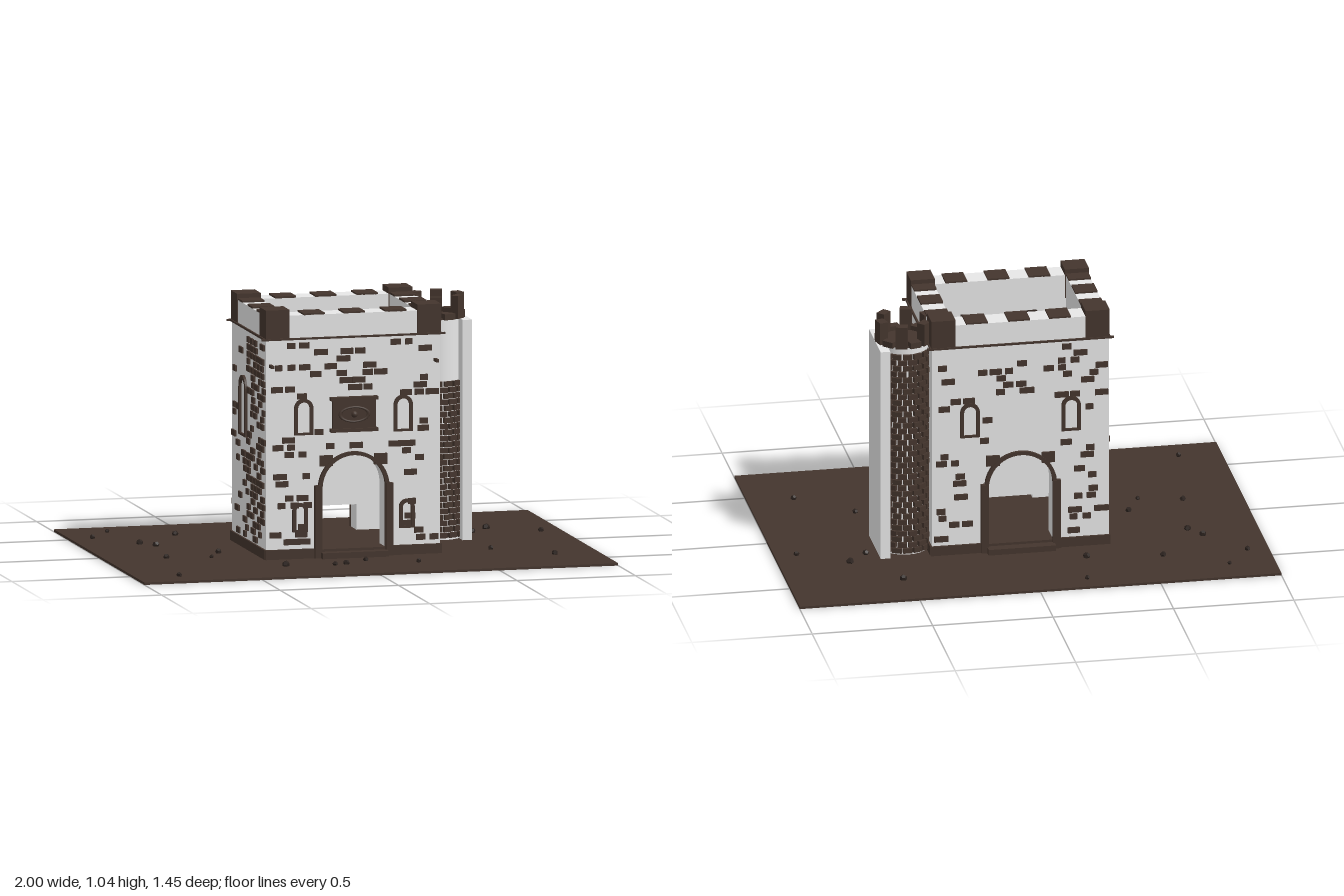
import * as THREE from 'three';
import { mergeGeometries } from 'three/addons/utils/BufferGeometryUtils.js';

const mat = (name, color) => Object.assign(new THREE.MeshStandardMaterial({ color }), { name });

export function createModel() {
  const plaster = mat('pale plaster', 0xf2f2f2);
  const brown = mat('brown stone', 0x44352d);
  const dark = mat('dark rubble', 0x2c231f);
  const root = new THREE.Group();
  root.name = 'gatehouse';

  let seed = 7;
  const rnd = () => (seed = (seed * 16807) % 2147483647) / 2147483647;

  const add = (parent, name, geo, m, x = 0, y = 0, z = 0) => {
    const mesh = new THREE.Mesh(geo, m);
    mesh.name = name;
    mesh.position.set(x, y, z);
    parent.add(mesh);
    return mesh;
  };
  // box given by its limits
  const box = (parent, name, m, x0, x1, y0, y1, z0, z1) =>
    add(parent, name, new THREE.BoxGeometry(x1 - x0, y1 - y0, z1 - z0), m,
      (x0 + x1) / 2, (y0 + y1) / 2, (z0 + z1) / 2);

  // round-headed outline standing on y0
  const archPath = (P, w, y0, top) => {
    const p = new P(), r = w / 2;
    p.moveTo(-r, y0);
    p.lineTo(r, y0);
    p.lineTo(r, top - r);
    p.absarc(0, top - r, r, 0, Math.PI, false);
    p.closePath();
    return p;
  };
  const extrude = (shape, depth) =>
    new THREE.ExtrudeGeometry(shape, { depth, bevelEnabled: false, curveSegments: 14 });
  const archFrame = (w, h, t, depth) => {
    const s = archPath(THREE.Shape, w, 0, h);
    s.holes.push(archPath(THREE.Path, w - 2 * t, t * 0.6, h - t));
    return extrude(s, depth);
  };

  // ground and pebbles
  box(root, 'ground', brown, -1, 1, 0, 0.01, -0.725, 0.725);
  [[-.81, -.59], [-.21, -.64], [-.91, -.45], [-.56, -.45], [-.25, -.41], [-.76, -.26], [-.71, -.19],
    [.53, -.51], [.71, -.29], [.63, -.21], [.91, -.17], [.59, .24], [.81, .43], [-.51, .05], [-.57, .17],
    [-.75, .13], [-.33, .45], [.02, .4], [-.08, .47], [-.13, .48], [-.82, .6], [.22, .49]].forEach(([x, z]) => {
    const p = add(root, 'pebble', new THREE.DodecahedronGeometry(0.009 + rnd() * 0.008), dark, x, 0.016, z);
    p.rotation.set(rnd() * 3, rnd() * 3, 0);
  });

  // walls: front and back are pierced by the gateway
  const X = 0.367, Z = 0.275, T = 0.093, TOP = 1.015;
  const wall = new THREE.Shape();
  wall.moveTo(-X, 0);
  wall.lineTo(-0.135, 0);
  wall.lineTo(-0.135, 0.3);
  wall.absarc(0, 0.3, 0.135, Math.PI, 0, true);
  wall.lineTo(0.135, 0);
  wall.lineTo(X, 0);
  wall.lineTo(X, TOP);
  wall.lineTo(-X, TOP);
  const wallGeo = extrude(wall, T);
  add(root, 'frontWall', wallGeo, plaster, 0, 0, Z - T);
  add(root, 'backWall', wallGeo, plaster, 0, 0, -Z);
  for (const s of [-1, 1])
    add(root, 'sideWall', new THREE.BoxGeometry(T, TOP, 2 * (Z - T)), plaster, s * (X - T / 2), TOP / 2, 0);
  box(root, 'upperRoom', plaster, -0.275, 0.275, 0.21, 0.85, -0.183, 0.183);
  box(root, 'passageFloor', brown, -0.275, 0.275, 0.01, 0.045, -0.28, 0.28);
  box(root, 'innerLining', brown, -0.273, 0.273, 0.85, 0.92, -0.182, -0.176);

  // rubble on the roof
  [[.06, -.13], [0, -.09], [.12, -.09], [.24, -.08], [-.18, .04], [-.09, .03], [.01, .01], [.21, .01],
    [.12, .07], [-.07, .1], [-.12, .14], [.14, .14]].forEach(([x, z]) => {
    const b = add(root, 'roofRubble', new THREE.BoxGeometry(0.06, 0.03, 0.045), dark, x, 0.865, z);
    b.rotation.y = rnd() * 0.8 - 0.4;
  });

  // parapet: ledge, corner blocks, cap stones
  for (const s of [-1, 1]) {
    add(root, 'ledge', new THREE.BoxGeometry(0.775, 0.008, 0.01), brown, 0, 0.918, s * (Z + 0.003));
    add(root, 'ledge', new THREE.BoxGeometry(0.01, 0.008, 0.56), brown, s * (X + 0.003), 0.918, 0);
    for (const t of [-1, 1])
      add(root, 'cornerBlock', new THREE.BoxGeometry(0.1, 0.125, 0.1), brown, s * 0.32, 0.9775, t * 0.23);
    for (const x of [-0.165, 0.005, 0.18])
      add(root, 'capStone', new THREE.BoxGeometry(0.09, 0.008, T), brown, x, 1.018, s * (Z - T / 2));
    for (const z of [-0.145, 0.015, 0.16])
      add(root, 'capStone', new THREE.BoxGeometry(T, 0.008, 0.085), brown, s * (X - T / 2), 1.018, z);
    // plinths either side of the gateway, and along the sides
    for (const t of [-1, 1])
      box(root, 'plinth', brown, s > 0 ? 0.135 : -0.372, s > 0 ? 0.372 : -0.135, 0.01, 0.05,
        t > 0 ? 0.26 : -0.285, t > 0 ? 0.285 : -0.26);
    add(root, 'sidePlinth', new THREE.BoxGeometry(0.02, 0.04, 0.55), brown, s * (X - 0.002), 0.03, 0);
  }

  // a facade holds details in wall coordinates: u across, y up, z outwards
  const facade = (name, angle, dist) => {
    const g = new THREE.Group(), turn = new THREE.Group();
    g.name = name;
    g.position.z = dist;
    turn.name = name + 'Side';
    turn.rotation.y = angle;
    turn.add(g);
    root.add(turn);
    return g;
  };
  const bricks = (g, u0, u1, y0, y1, density, keepOut) => {
    const parts = [];
    for (let y = y0; y < y1; y += 0.03)
      for (let u = u0 + rnd() * 0.03; u < u1; u += 0.055) {
        const w = 0.03 + rnd() * 0.03;
        if (rnd() > density) continue;
        if (keepOut.some(([a, b, c, d]) => u + w / 2 > a && u - w / 2 < b && y > c && y < d)) continue;
        parts.push(new THREE.BoxGeometry(w, 0.024, 0.012).translate(u, y, 0.002));
      }
    add(g, 'exposedBricks', mergeGeometries(parts), brown);
  };
  const windowAt = (g, u, y, w, h) => add(g, 'windowFrame', archFrame(w, h, 0.015, 0.012), brown, u, y, -0.002);

  const front = facade('front', 0, Z), back = facade('back', Math.PI, Z);
  for (const g of [front, back]) {
    // gateway surround with imposts and a step
    const s = archPath(THREE.Shape, 0.3, 0.01, 0.445);
    s.holes.push(archPath(THREE.Path, 0.266, 0.012, 0.43));
    add(g, 'gateSurround', extrude(s, 0.018), brown, 0, 0, -0.003);
    for (const k of [-1, 1]) {
      add(g, 'gateJamb', new THREE.BoxGeometry(0.03, 0.3, 0.025), brown, k * 0.15, 0.16, 0.006);
      add(g, 'gateShoulder', new THREE.BoxGeometry(0.055, 0.045, 0.014), brown, k * 0.115, 0.41, 0.003);
      windowAt(g, k * 0.21, 0.52, 0.08, 0.15);
      if (g === front) windowAt(g, k * 0.225, 0.12, 0.065, 0.12);
    }
    add(g, 'gateStep', new THREE.BoxGeometry(0.28, 0.025, 0.05), brown, 0, 0.022, 0.02);
    bricks(g, -0.33, 0.34, 0.08, 0.9, 0.25,
      [[-0.17, 0.17, 0, 0.46], [-0.11, 0.11, 0.52, 0.68], [-0.25, -0.17, 0.52, 0.67], [0.17, 0.25, 0.52, 0.67]]);
  }

  // carved plaque and pegs over the gate
  add(front, 'plaque', new THREE.BoxGeometry(0.18, 0.13, 0.02), brown, 0, 0.6, 0.01);
  for (const y of [0.535, 0.665]) add(front, 'plaqueRail', new THREE.BoxGeometry(0.2, 0.014, 0.03), brown, 0, y, 0.013);
  const oval = add(front, 'plaqueCarving', new THREE.TorusGeometry(0.03, 0.004, 6, 20), brown, 0, 0.6, 0.02);
  oval.scale.x = 2;
  add(front, 'plaqueBoss', new THREE.SphereGeometry(0.014, 12, 8), brown, 0, 0.6, 0.018);
  for (const x of [-0.35, 0.345]) add(front, 'peg', new THREE.BoxGeometry(0.012, 0.012, 0.045), brown, x, 0.81, 0.022);

  const left = facade('leftFlank', Math.PI / 2, X), right = facade('rightFlank', -Math.PI / 2, X);
  windowAt(left, -0.09, 0.52, 0.08, 0.14);
  windowAt(left, -0.065, 0.12, 0.075, 0.13);
  bricks(left, -0.16, 0, 0.07, 0.91, 0.4, [[-0.12, -0.05, 0.53, 0.64], [-0.1, -0.03, 0.13, 0.23]]);
  windowAt(right, -0.08, 0.47, 0.11, 0.25);
  bricks(right, 0.0, 0.25, 0.07, 0.9, 0.65, []);
  bricks(right, -0.24, 0, 0.07, 0.9, 0.2, [[-0.14, -0.02, 0.46, 0.73]]);

  // stair turret: plastered drum, brick skin, flat outer wall, ring of posts
  const cx = 0.46, cz = -0.145, R = 0.102;
  add(root, 'turretDrum', new THREE.CylinderGeometry(R, R, 0.91, 24), plaster, cx, 0.465, cz);
  add(root, 'turretFloor', new THREE.CylinderGeometry(R, R, 0.006, 24), brown, cx, 0.923, cz);
  box(root, 'turretOuterWall', plaster, 0.54, 0.58, 0.01, 0.92, -0.275, -0.02);
  const skin = [];
  for (let y = 0.03, row = 0; y < 0.9; y += 0.025, row++)
    for (let a = 0.75 + (row % 2) * 0.2; a < 5.6; a += 0.4) {
      if (a < Math.PI && y > 0.67 && !(a > 2.4 && rnd() < 0.5)) continue;
      const w = 0.032 + rnd() * 0.008;
      skin.push(new THREE.BoxGeometry(0.02, 0.021, w).translate(R + rnd() * 0.004, 0, 0)
        .rotateY(-a).translate(cx, y, cz));
    }
  add(root, 'turretBricks', mergeGeometries(skin), brown);
  for (let i = 0; i < 12; i++) {
    const a = (i + 0.5) * Math.PI / 6, h = i % 2 ? 0.095 : 0.025;
    const p = add(root, 'turretPost', new THREE.BoxGeometry(0.036, h, 0.048), brown,
      cx + 0.1 * Math.cos(a), 0.92 + h / 2, cz + 0.1 * Math.sin(a));
    p.rotation.y = -a;
  }
  return root;
}
